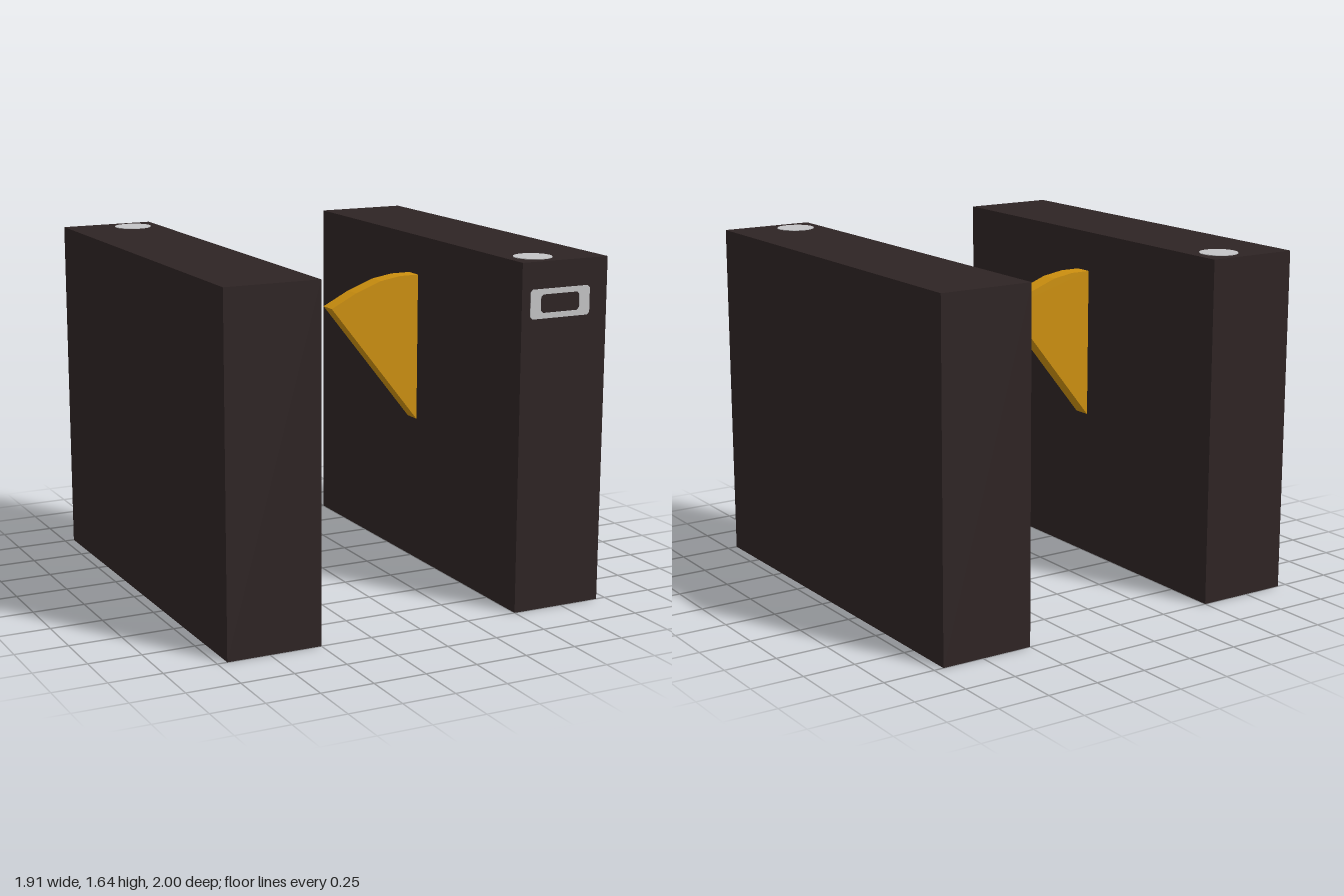
import * as THREE from 'three';

const material = (name, color) => {
  const m = new THREE.MeshStandardMaterial({ color });
  m.name = name;
  return m;
};

// Rectangle with small cut corners, centred on the origin
function trimRect(PathType, w, h, c) {
  const x = w / 2, y = h / 2;
  return new PathType([
    [-x + c, -y], [x - c, -y], [x, -y + c], [x, y - c],
    [x - c, y], [-x + c, y], [-x, y - c], [-x, -y + c],
  ].map(([a, b]) => new THREE.Vector2(a, b)));
}

export function createModel() {
  const body = material('dark cabinet', 0x2e2424);
  const gold = material('amber flap', 0xcd900f);
  const silver = material('silver', 0xc4c4c6);
  const group = new THREE.Group();

  const add = (name, geometry, mat, x, y, z) => {
    const mesh = new THREE.Mesh(geometry, mat);
    mesh.name = name;
    mesh.position.set(x, y, z);
    group.add(mesh);
    return mesh;
  };

  for (const side of [1, -1]) {
    const label = side > 0 ? 'left' : 'right';

    // Gate cabinet
    add(label + 'Cabinet', new THREE.BoxGeometry(0.453, 1.64, 2), body, side * 0.7265, 0.82, 0);

    // Fan-shaped barrier flap reaching into the passage
    const outline = [[0.5, 0.72], [0.5, 1.447], [0.4, 1.447], [0.295, 1.43], [0.16, 1.38], [0.028, 1.313]];
    const fan = new THREE.Shape(outline.map(([x, y]) => new THREE.Vector2(side * x, y)));
    add(label + 'Flap', new THREE.ExtrudeGeometry(fan, { depth: 0.09, bevelEnabled: false }), gold, 0, 0, -0.045);

    // Round card reader on the entry end of each cabinet
    add(label + 'Reader', new THREE.CylinderGeometry(0.09, 0.09, 0.004, 24), silver, side * 0.637, 1.641, side * 0.865);
  }

  // Ticket slot frame on the front end
  const frame = trimRect(THREE.Shape, 0.315, 0.136, 0.012);
  frame.holes.push(trimRect(THREE.Path, 0.205, 0.085, 0.012));
  add('ticketSlotFrame', new THREE.ExtrudeGeometry(frame, { depth: 0.003, bevelEnabled: false }), silver, 0.702, 1.447, 1);

  return group;
}
